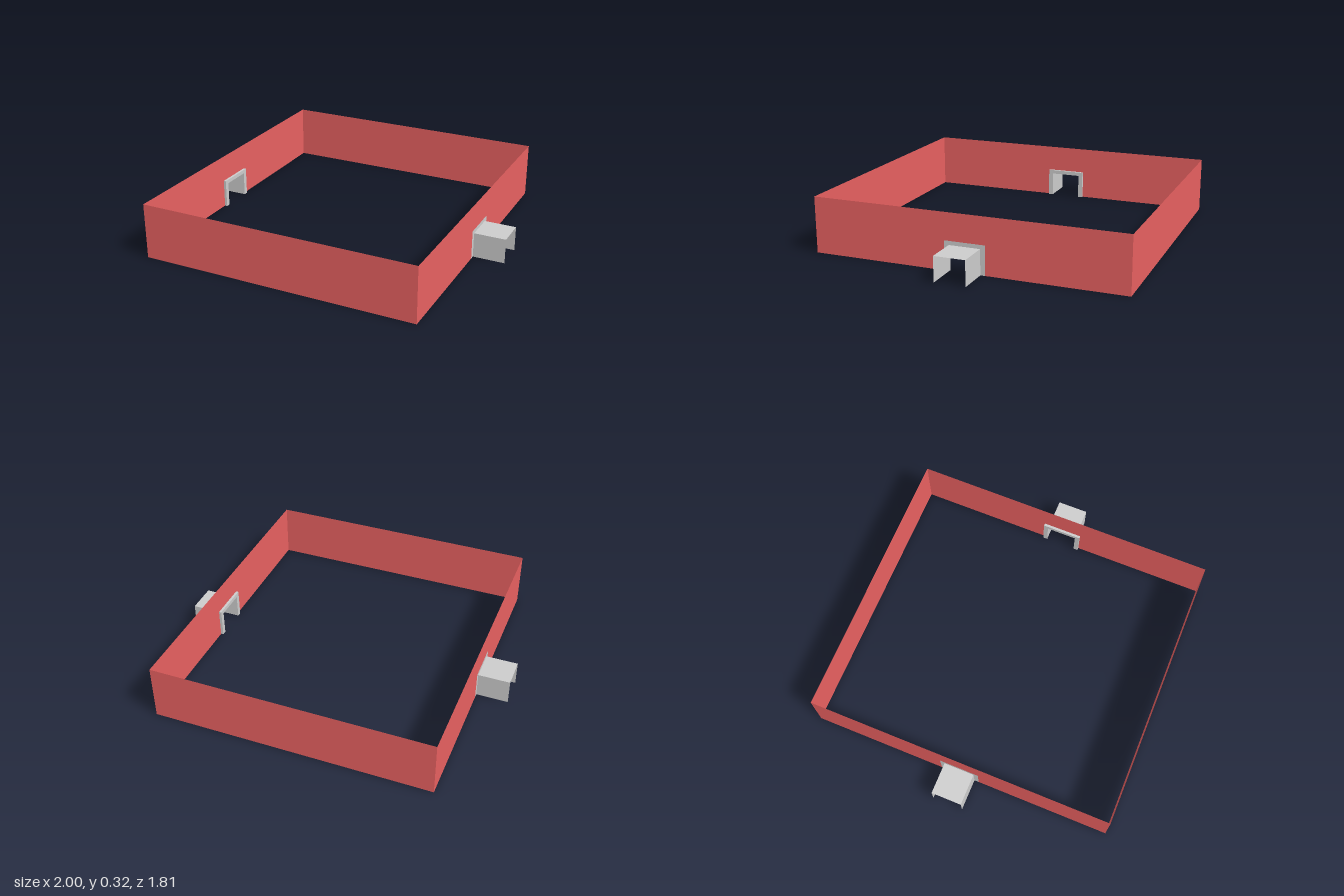
import * as THREE from 'three';

const W = 0.815, D = 0.905, H = 0.325; // half width, half depth, wall height
const OPEN = { half: 0.09, top: 0.145 }; // clear doorway
const TRIM = { half: 0.117, top: 0.168, depth: 0.015 }; // doorway surround

// Outline with a doorway notch cut up from the ground
function notched(half, height, notch) {
  return new THREE.Shape([
    [-half, 0], [-notch.half, 0], [-notch.half, notch.top], [notch.half, notch.top],
    [notch.half, 0], [half, 0], [half, height], [-half, height],
  ].map(([x, y]) => new THREE.Vector2(x, y)));
}

export function createModel() {
  const red = new THREE.MeshStandardMaterial({ color: 0xe76060, side: THREE.DoubleSide });
  const grey = new THREE.MeshStandardMaterial({ color: 0xcccccc, side: THREE.DoubleSide });
  const model = new THREE.Group();

  const add = (parent, name, geometry, material, x, y, z) => {
    const mesh = new THREE.Mesh(geometry, material);
    mesh.name = name;
    mesh.position.set(x, y, z);
    parent.add(mesh);
    return mesh;
  };

  // Plain end walls
  add(model, 'frontWall', new THREE.PlaneGeometry(2 * W, H), red, 0, H / 2, D);
  add(model, 'backWall', new THREE.PlaneGeometry(2 * W, H), red, 0, H / 2, -D).rotation.y = Math.PI;

  // Each side is built facing +z, then turned to face outwards along x
  for (const [name, s] of [['left', 1], ['right', -1]]) {
    const side = new THREE.Group();
    side.name = name + 'Side';
    side.rotation.y = s * Math.PI / 2;
    model.add(side);

    // Side wall with the doorway cut out
    add(side, name + 'Wall', new THREE.ShapeGeometry(notched(D, H, TRIM)), red, 0, 0, W);

    // Surround, flush outside and standing proud inside
    const trim = new THREE.ExtrudeGeometry(notched(TRIM.half, TRIM.top, OPEN),
      { depth: TRIM.depth, bevelEnabled: false });
    add(side, name + 'DoorTrim', trim, grey, 0, 0, W - TRIM.depth);

    // Thin open-ended tunnel: two sides and a roof
    const length = 1 - W, mid = W + length / 2;
    for (const k of [-1, 1]) {
      add(side, name + 'TunnelSide', new THREE.PlaneGeometry(length, OPEN.top), grey,
        k * OPEN.half, OPEN.top / 2, mid).rotation.y = k * Math.PI / 2;
    }
    add(side, name + 'TunnelRoof', new THREE.PlaneGeometry(2 * OPEN.half, length), grey,
      0, OPEN.top, mid).rotation.x = -Math.PI / 2;
  }
  return model;
}
